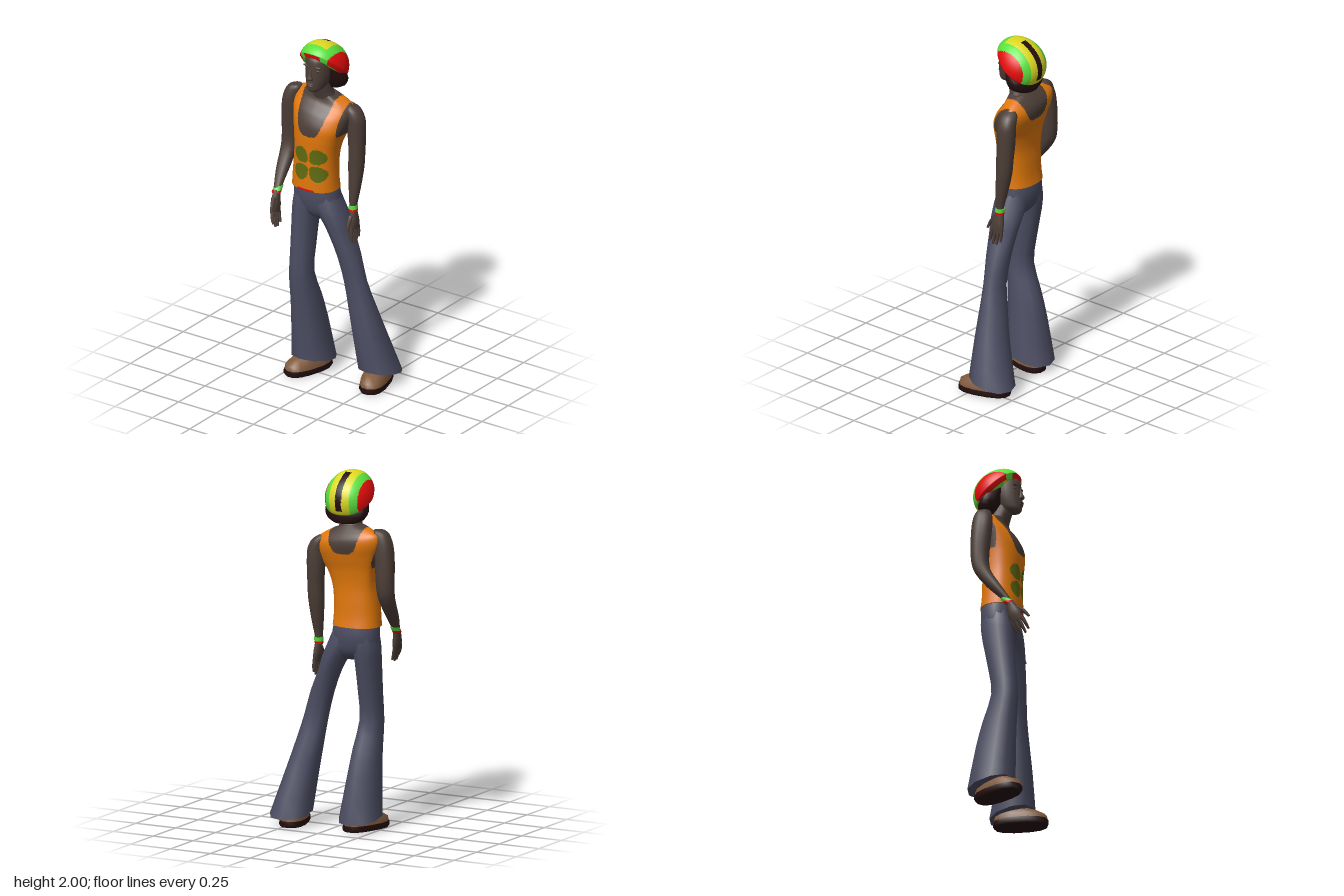
import * as THREE from 'three';

const mat = (name, color) => Object.assign(new THREE.MeshStandardMaterial({ color }), { name });
const skin = mat('skin', 0x4d3e37), denim = mat('denim', 0x4b4c61), orange = mat('shirtOrange', 0xe0770a);
const leaf = mat('leafGreen', 0x5f6a10), green = mat('brightGreen', 0x5ae03c), yellow = mat('yellow', 0xdcd822);
const red = mat('red', 0xe40a0a), dark = mat('darkBrown', 0x240f0e), tan = mat('shoeTan', 0x80593c);

const step = THREE.MathUtils.smoothstep;
const bow = (v, p) => Math.sign(v) * Math.abs(v) ** p;
const catmull = (a, b, c, d, t) =>
  b + 0.5 * t * (c - a + t * (2 * a - 5 * b + 4 * c - d + t * (3 * (b - c) + d - a)));

// Closed skin over horizontal rings [x, y, z, radiusX, radiusZ, tilt], smoothed between rings.
// paint(x, y, z) picks a material index for each face when material is an array.
function loft(name, rings, material, { sides = 12, steps = 3, power = 2, bend, paint } = {}) {
  const src = [...rings].sort((a, b) => a[1] - b[1]).map(r => [...r, 0].slice(0, 6));
  const rows = [], pos = [], tris = [];
  for (let i = 0; i < src.length - 1; i++) {
    const [a, b, c, d] = [i - 1, i, i + 1, i + 2].map(k => src[Math.min(src.length - 1, Math.max(0, k))]);
    for (let s = 0; s < steps; s++) rows.push(b.map((v, k) => catmull(a[k], v, c[k], d[k], s / steps)));
  }
  rows.push(src[src.length - 1]);
  const addPoint = (...p) => pos.push(...(bend ? bend(...p) : p));
  const addRow = ([x, y, z, rx, rz, tilt]) => {
    for (let j = 0; j < sides; j++) {
      const a = (j / sides) * Math.PI * 2, dz = rz * bow(Math.cos(a), 2 / power);
      addPoint(x + rx * bow(Math.sin(a), 2 / power), y + tilt * dz, z + dz);
    }
  };
  rows.forEach(addRow);
  for (let i = 0; i < rows.length - 1; i++) {
    for (let j = 0; j < sides; j++) {
      const a = i * sides + j, b = i * sides + (j + 1) % sides;
      tris.push([a, b, a + sides], [b, b + sides, a + sides]);
    }
  }
  // end caps
  for (const [row, up] of [[rows[0], false], [rows[rows.length - 1], true]]) {
    const start = pos.length / 3;
    addRow(row);
    addPoint(...row.slice(0, 3));
    for (let j = 0; j < sides; j++) {
      const a = start + j, b = start + (j + 1) % sides;
      tris.push(up ? [start + sides, a, b] : [start + sides, b, a]);
    }
  }
  const geo = new THREE.BufferGeometry();
  geo.setAttribute('position', new THREE.Float32BufferAttribute(pos, 3));
  if (paint) {
    const bins = material.map(() => []);
    for (const t of tris) {
      const mid = [0, 1, 2].map(k => (pos[t[0] * 3 + k] + pos[t[1] * 3 + k] + pos[t[2] * 3 + k]) / 3);
      bins[paint(...mid)].push(...t);
    }
    let start = 0;
    bins.forEach((b, i) => { geo.addGroup(start, b.length, i); start += b.length; });
    geo.setIndex(bins.flat());
  } else geo.setIndex(tris.flat());
  geo.computeVertexNormals();
  return Object.assign(new THREE.Mesh(geo, material), { name });
}

function blob(name, x, y, z, sx, sy, sz) {
  const m = Object.assign(new THREE.Mesh(new THREE.SphereGeometry(1, 12, 8), skin), { name });
  m.position.set(x, y, z);
  m.scale.set(sx, sy, sz);
  return m;
}

// Tank top with neckline, armholes and a four-leaf print
function shirtPaint(x, y, z) {
  const dx = Math.abs(x + 0.093), front = z > -0.03;
  if (y > (front ? 1.465 : 1.55) + (front ? 0.1 : 0.06) * (dx / 0.085) ** 4) return 0;
  if (y > 1.47 && dx > 0.145 + 0.1 * (y - 1.5) && z > -0.08 && z < 0.075) return 0;
  if (y < 1.145 && z > 0.05 && Math.abs(x + 0.11) < 0.055) return 3;
  if (z > 0) {
    const u = Math.abs(x + 0.09), v = Math.abs(y - 1.295);
    const along = (u + v) * Math.SQRT1_2 - 0.069, across = (u - v) * Math.SQRT1_2;
    if (u > 0.004 && v > 0.005 && (along / 0.05) ** 2 + (across / (0.045 + 0.15 * along)) ** 2 < 1) return 2;
  }
  return 1;
}

// Beret stripes: yellow centre, green, red sides, one dark bar at the back
function beretPaint(x, y, z) {
  const worldZ = -0.025 - 0.573 * y + 0.82 * z, ax = Math.abs(x);
  if (y < 0.02 && z > 0.1 && ax < 0.05) return 2;
  if (Math.abs(x) < 0.019 && worldZ < -0.05 && y > 0.025) return 3;
  if (ax < 0.062) return worldZ > 0.03 ? 1 : 0;
  return ax < 0.1 - (z > 0 ? 0.25 * Math.max(0, 0.06 - y) : 0) ? 1 : 2;
}

// Hand hanging down -y, thumb towards +z
function hand(name, inward, position, rotation) {
  const g = Object.assign(new THREE.Group(), { name });
  g.add(loft('palm', [[0, 0.02, 0, 0.018, 0.022], [0, -0.02, 0, 0.02, 0.032],
    [0, -0.06, 0, 0.021, 0.04], [0, -0.1, -0.002, 0.014, 0.038]], skin));
  [-0.03, -0.01, 0.01, 0.03].forEach((z, i) => {
    const len = [0.065, 0.088, 0.092, 0.078][i];
    g.add(loft('finger', [[0, -0.085, z, 0.012, 0.0115], [inward * 0.3, -0.09 - len * 0.5, z * 1.15, 0.011, 0.01],
      [inward, -0.09 - len, z * 1.2, 0.006, 0.006]], skin, { sides: 6, steps: 2 }));
  });
  g.add(loft('thumb', [[0, -0.02, 0.022, 0.014, 0.015], [inward * 0.8, -0.06, 0.05, 0.011, 0.012],
    [inward, -0.105, 0.066, 0.006, 0.007]], skin, { sides: 6, steps: 2 }));
  g.position.set(...position);
  g.rotation.set(...rotation);
  return g;
}

function shoe(name, x, z, turn) {
  const g = Object.assign(new THREE.Group(), { name });
  g.add(loft('sole', [[0, 0, 0, 0.07, 0.148], [0, 0.012, 0, 0.077, 0.154], [0, 0.034, 0, 0.075, 0.152]],
    dark, { sides: 14, steps: 1, power: 2.5 }));
  g.add(loft('upper', [[0, 0.03, 0, 0.074, 0.15], [0, 0.06, -0.002, 0.072, 0.146], [0, 0.088, -0.02, 0.058, 0.115],
    [0, 0.105, -0.04, 0.045, 0.08], [0, 0.13, -0.06, 0.04, 0.06]], tan, { sides: 14, steps: 1, power: 2.4 }));
  g.position.set(x, 0, z);
  g.rotation.y = turn;
  return g;
}

function wristband(side, x, y, z, slope) {
  const g = Object.assign(new THREE.Group(), { name: side + 'Wristband' });
  for (const [name, m, lo, hi] of [['greenBand', green, 0, 0.023], ['redBand', red, -0.013, 0]])
    g.add(loft(name, [lo, hi].map(h => [x, y + h, z - h * slope, 0.025, 0.027]), m, { steps: 1 }));
  return g;
}

export function createModel() {
  const model = Object.assign(new THREE.Group(), { name: 'standingMan' });
  // Torso, shoulders tilted and broader across the back
  const lean = (x, y, z) => {
    const high = step(y, 1.3, 1.6), dx = x + 0.09;
    return [x + 0.2 * step(y, 1.2, 1.5) * step(-z, 0.02, 0.1) * dx, y - (dx > 0 ? 0.2 : 0.1) * dx * high, z];
  };
  model.add(loft('torso', [
    [-0.11, 1.135, -0.003, 0.137, 0.108], [-0.11, 1.19, 0, 0.133, 0.104], [-0.108, 1.27, 0, 0.129, 0.101],
    [-0.102, 1.36, 0.001, 0.129, 0.101], [-0.095, 1.45, -0.003, 0.14, 0.108], [-0.09, 1.52, -0.015, 0.157, 0.115],
    [-0.09, 1.58, -0.035, 0.172, 0.11], [-0.088, 1.62, -0.05, 0.176, 0.095], [-0.088, 1.65, -0.056, 0.164, 0.077],
    [-0.087, 1.678, -0.05, 0.125, 0.062], [-0.085, 1.7, -0.04, 0.072, 0.052],
  ], [skin, orange, leaf, red], { sides: 160, steps: 11, power: 2.3, bend: lean, paint: shirtPaint }));

  // Neck, head and face
  model.add(loft('neck', [[-0.085, 1.65, -0.045, 0.085, 0.055], [-0.085, 1.7, -0.028, 0.065, 0.055],
    [-0.083, 1.74, -0.015, 0.058, 0.056], [-0.08, 1.8, -0.01, 0.055, 0.056]], skin, { sides: 16 }));
  model.add(loft('head', [
    [-0.08, 1.735, 0.062, 0.026, 0.03], [-0.08, 1.75, 0.04, 0.046, 0.06], [-0.08, 1.78, 0.022, 0.059, 0.08],
    [-0.08, 1.82, 0.013, 0.069, 0.087], [-0.08, 1.87, 0.008, 0.074, 0.088], [-0.08, 1.925, 0, 0.072, 0.086],
    [-0.08, 1.955, -0.012, 0.048, 0.06]], skin, { sides: 20 }));
  model.add(loft('nose', [[-0.08, 1.872, 0.092, 0.008, 0.008], [-0.08, 1.835, 0.098, 0.011, 0.013],
    [-0.08, 1.817, 0.1, 0.019, 0.02], [-0.08, 1.807, 0.096, 0.014, 0.012]], skin, { sides: 8, steps: 2 }));
  model.add(blob('upperLip', -0.08, 1.787, 0.098, 0.025, 0.006, 0.013));
  model.add(blob('lowerLip', -0.08, 1.774, 0.096, 0.022, 0.007, 0.013));
  for (const s of [-1, 1]) {
    model.add(blob('brow', -0.08 + s * 0.032, 1.884, 0.08, 0.026, 0.007, 0.01));
    model.add(blob('eyelid', -0.08 + s * 0.031, 1.862, 0.077, 0.017, 0.008, 0.01));
  }

  // Hair, tucked under a slouched striped beret
  model.add(loft('hair', [[-0.08, 1.718, -0.085, 0.065, 0.045], [-0.08, 1.74, -0.075, 0.11, 0.062],
    [-0.08, 1.78, -0.065, 0.13, 0.072], [-0.08, 1.82, -0.052, 0.125, 0.07], [-0.08, 1.86, -0.04, 0.116, 0.068],
    [-0.08, 1.9, -0.03, 0.098, 0.06]], dark, { sides: 16, steps: 2, power: 2.1 }));
  const dome = [[0, -0.018, 0, 0.115, 0.125]];
  for (let i = 0; i <= 32; i++) {
    const a = (i / 32) * Math.PI * 0.497, r = Math.cos(a) ** 0.9;
    dome.push([0, 0.137 * Math.sin(a), 0, 0.137 * r, 0.15 * r]);
  }
  const slouch = (x, y, z) => {
    const f = Math.max(0, z);
    return [x * (1 - f), y + 0.13 * f * Math.max(0, 1 - y / 0.1), z];
  };
  const beret = loft('beret', dome, [yellow, green, red, dark],
    { sides: 112, steps: 1, power: 2.25, bend: slouch, paint: beretPaint });
  beret.position.set(-0.083, 1.855, -0.025);
  beret.rotation.x = -0.61;
  model.add(beret);

  // Arms, wristbands and hands
  model.add(loft('leftArm', [
    [0.055, 1.635, -0.08, 0.025, 0.03], [0.075, 1.61, -0.082, 0.046, 0.048], [0.098, 1.56, -0.084, 0.05, 0.054],
    [0.102, 1.5, -0.085, 0.051, 0.054], [0.104, 1.43, -0.084, 0.049, 0.052], [0.107, 1.36, -0.08, 0.045, 0.05],
    [0.107, 1.27, -0.074, 0.044, 0.046], [0.108, 1.15, -0.058, 0.033, 0.035], [0.108, 1.06, -0.045, 0.022, 0.024],
    [0.108, 1.01, -0.043, 0.02, 0.024]], skin));
  model.add(loft('rightArm', [
    [-0.265, 1.686, -0.037, 0.028, 0.03], [-0.277, 1.666, -0.036, 0.045, 0.046], [-0.295, 1.6, -0.035, 0.051, 0.058],
    [-0.304, 1.5, -0.04, 0.054, 0.056], [-0.308, 1.38, -0.043, 0.051, 0.05], [-0.308, 1.3, -0.025, 0.046, 0.047],
    [-0.302, 1.2, 0.042, 0.036, 0.04], [-0.289, 1.12, 0.106, 0.023, 0.025], [-0.284, 1.075, 0.13, 0.02, 0.023]], skin));
  model.add(wristband('left', 0.108, 1.03, -0.044, 0.1), wristband('right', -0.287, 1.1, 0.117, 0.7));
  model.add(hand('leftHand', -0.002, [0.11, 1.015, -0.043], [-0.08, 0, 0.13]));
  model.add(hand('rightHand', 0.014, [-0.284, 1.08, 0.13], [-0.35, 0, 0.17]));

  // Flared trousers
  model.add(loft('hips', [[-0.11, 1.15, -0.008, 0.13, 0.098], [-0.106, 1.08, -0.01, 0.138, 0.101],
    [-0.098, 1.01, -0.01, 0.136, 0.086], [-0.085, 0.97, -0.01, 0.1, 0.062], [-0.074, 0.945, -0.01, 0.06, 0.03]],
    denim, { sides: 18, power: 2.2 }));
  const legStyle = { sides: 10, steps: 2, power: 2.2 };
  model.add(loft('rightTrouserLeg', [
    [-0.163, 1.1, -0.008, 0.075, 0.085], [-0.169, 1.03, -0.004, 0.076, 0.094], [-0.175, 0.94, 0.004, 0.069, 0.092],
    [-0.175, 0.75, 0.03, 0.066, 0.08], [-0.175, 0.6, 0.045, 0.066, 0.076], [-0.168, 0.45, 0.012, 0.079, 0.096],
    [-0.163, 0.3, -0.014, 0.092, 0.114], [-0.155, 0.073, -0.045, 0.116, 0.136, 0.2]], denim, legStyle));
  model.add(loft('leftTrouserLeg', [
    [-0.055, 1.1, -0.011, 0.08, 0.085], [-0.026, 1.03, -0.012, 0.081, 0.093], [0.018, 0.95, -0.017, 0.071, 0.09],
    [0.051, 0.87, -0.02, 0.061, 0.082], [0.095, 0.75, -0.025, 0.065, 0.068], [0.133, 0.6, -0.031, 0.07, 0.057],
    [0.166, 0.45, -0.048, 0.08, 0.075], [0.2, 0.3, -0.066, 0.092, 0.095], [0.246, 0.073, -0.105, 0.115, 0.13, 0.2],
  ], denim, legStyle));

  model.add(shoe('rightShoe', -0.163, 0, -0.28), shoe('leftShoe', 0.252, -0.058, 0.28));
  return model;
}
